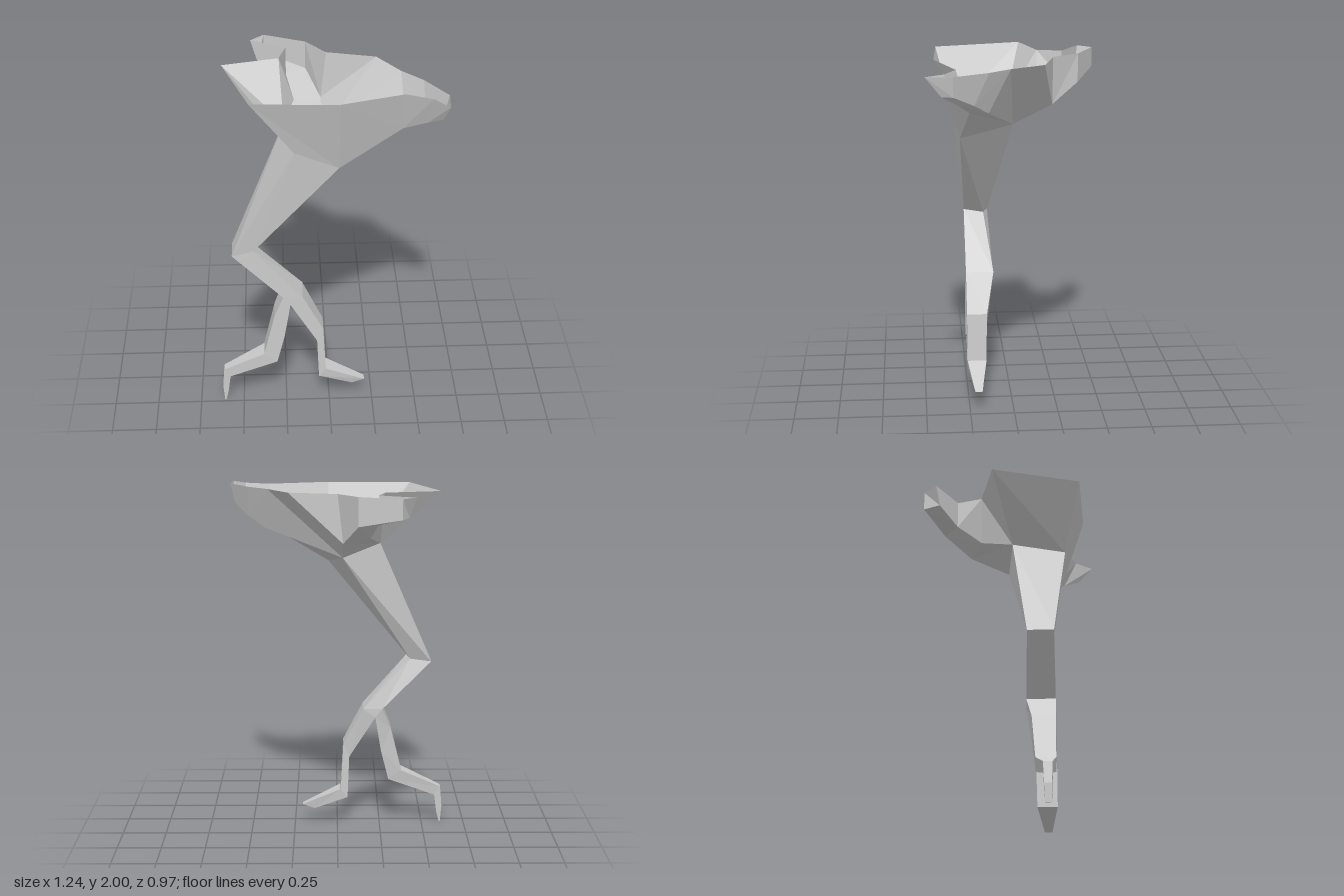
import * as THREE from 'three';

const material = new THREE.MeshStandardMaterial({
  color: 0xcccccc, flatShading: true, side: THREE.DoubleSide,
});

// Builds a mesh from polygons (each a list of points, split as a fan)
function polyMesh(name, polys) {
  const pos = [];
  for (const p of polys)
    for (let i = 1; i < p.length - 1; i++) pos.push(...p[0], ...p[i], ...p[i + 1]);
  const geo = new THREE.BufferGeometry();
  geo.setAttribute('position', new THREE.Float32BufferAttribute(pos, 3));
  geo.computeVertexNormals();
  const mesh = new THREE.Mesh(geo, material);
  mesh.name = name;
  return mesh;
}

// Skins a row of cross-sections; open sections make a trough
function loft(name, sections, closed, cap) {
  const polys = [];
  for (let s = 0; s < sections.length - 1; s++) {
    const a = sections[s], b = sections[s + 1], n = a.length;
    for (let i = 0; i < (closed ? n : n - 1); i++) {
      const j = (i + 1) % n;
      polys.push([a[i], b[i], b[j], a[j]]);
    }
  }
  if (cap) polys.push([...sections[sections.length - 1]].reverse());
  return polyMesh(name, polys);
}

// Four-cornered limb section: -x edge, +x edge, front and back depth
const ring = (xl, yl, xr, yr, zf, zb) =>
  [[xl, yl, zf], [xr, yr, zf], [xr, yr, zb], [xl, yl, zb]];

export function createModel() {
  const group = new THREE.Group();
  group.name = 'openBowlOnLeg';
  const top = 2;

  // Corners of the thigh opening at the bottom of the bowl
  const E = [-0.19, 1.67, 0.32], D = [0.05, 1.56, 0.29];
  const C = [-0.03, 1.62, -0.01], F = [-0.24, 1.70, 0.02];
  // Low points behind the opening
  const H = [-0.18, 1.75, -0.16], G = [-0.03, 1.73, -0.23];
  // Rim corners
  const R0 = [-0.57, top, -0.08], R1 = [-0.42, top, 0.41], R2 = [0.05, top, 0.43];
  const P = [0.27, top, -0.16], Q = [0, top, -0.23], S = [-0.26, top, -0.16];

  // Side trough: back rim, back bottom, front bottom, front rim
  const side = [
    [[0.39, top, 0.03], [0.41, 1.77, 0.15], [0.39, 1.77, 0.25], [0.39, top, 0.32]],
    [[0.50, top, 0.15], [0.51, 1.83, 0.23], [0.51, 1.83, 0.31], [0.53, top, 0.385]],
    [[0.615, top, 0.34], [0.59, 1.89, 0.34], [0.58, 1.89, 0.40], [0.605, top, 0.485]],
  ];
  // Rear trough, running back and towards -x
  const rear = [
    [S, H, G, Q],
    [[-0.22, top, -0.30], [-0.22, 1.84, -0.30], [-0.11, 1.84, -0.38], [-0.11, top, -0.38]],
    [[-0.415, top, -0.41], [-0.38, 1.89, -0.39], [-0.34, 1.89, -0.485], [-0.34, top, -0.485]],
  ];
  const [K, J, A, R3] = side[0];

  group.add(polyMesh('hipBowl', [
    [R0, F, E, R1], [R1, E, D, R2], [R2, D, A, R3], // left and front walls
    [C, K, J], [C, J, A], [C, A, D],                // slope into the side trough
    [C, P, K], [C, G, P], [G, Q, P],                // back wall
    [F, H, G, C], [S, H, F, R0],                    // rear floor and corner
  ]));
  group.add(loft('sideTrough', side, false, true));
  group.add(loft('rearTrough', rear, false, true));

  // Leg
  const knee = [[-0.54, 1.0, 0.255], [-0.42, 1.03, 0.255], [-0.42, 1.01, 0.14], [-0.54, 1.0, 0.11]];
  const ankle = ring(-0.26, 0.72, -0.15, 0.72, 0.255, 0.095);
  group.add(loft('thigh', [[E, D, C, F], knee], true));
  group.add(loft('shin', [knee, ankle], true));

  // Toes split from the ankle at a shared crotch
  group.add(loft('leftToe', [
    ring(-0.22, 0.67, -0.15, 0.72, 0.255, 0.095),
    ring(-0.07, 0.42, -0.035, 0.50, 0.255, 0.14),
    ring(-0.06, 0.17, -0.02, 0.22, 0.255, 0.145),
    ring(0.135, 0.09, 0.205, 0.115, 0.22, 0.18),
  ], true, true));
  group.add(loft('rightToe', [
    ring(-0.26, 0.72, -0.22, 0.67, 0.255, 0.095),
    ring(-0.31, 0.60, -0.255, 0.46, 0.255, 0.125),
    ring(-0.375, 0.335, -0.30, 0.28, 0.255, 0.145),
    ring(-0.61, 0.22, -0.575, 0.17, 0.24, 0.19),
    ring(-0.62, 0.10, -0.59, 0.06, 0.235, 0.195),
    ring(-0.612, 0, -0.605, 0, 0.235, 0.20),
  ], true, true));
  // Underside of the ankle between the toes
  const crotch = (z) => [[-0.26, 0.72, z], [-0.22, 0.67, z], [-0.15, 0.72, z]];
  group.add(polyMesh('ankleWeb', [crotch(0.255), crotch(0.095).reverse()]));

  return group;
}
